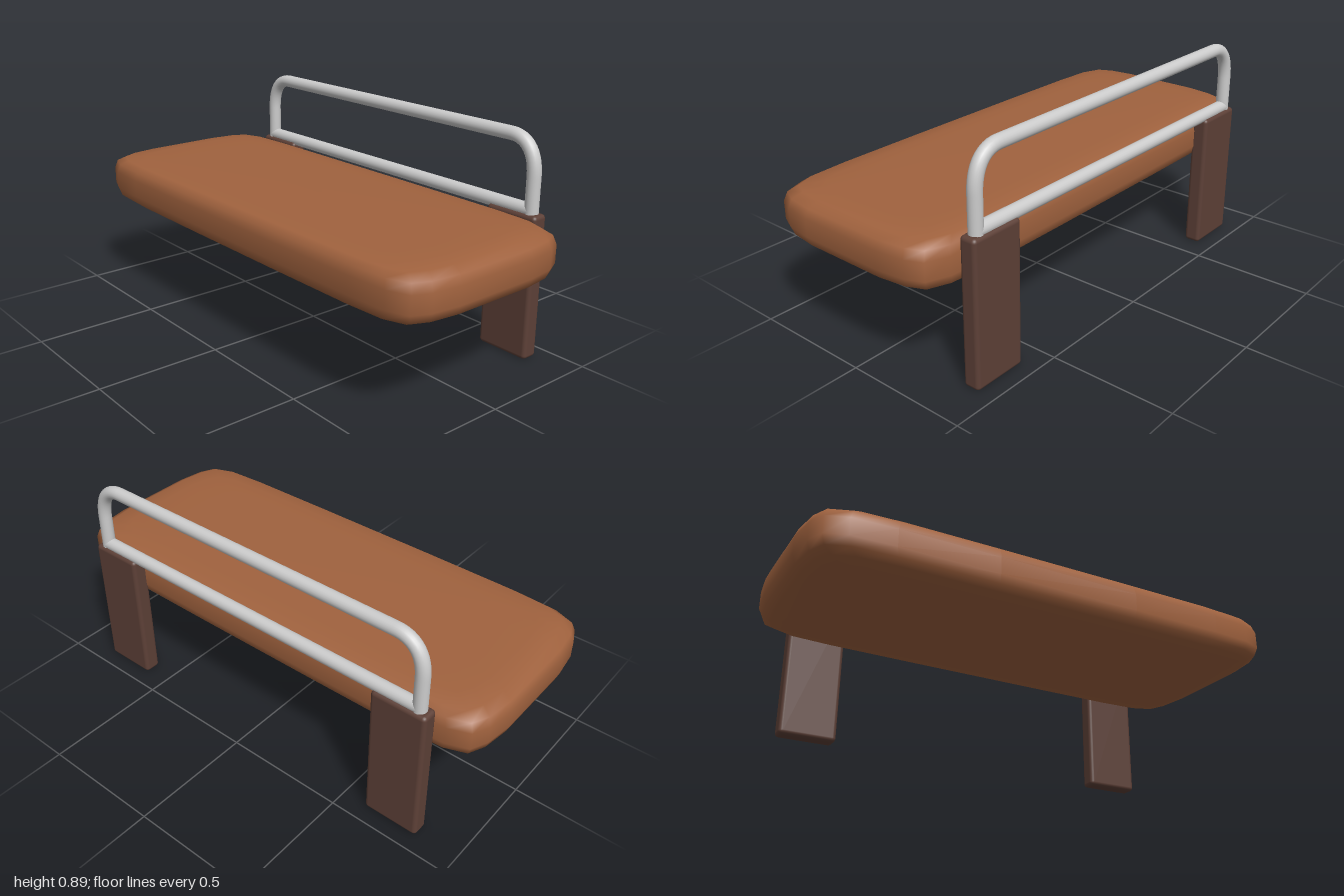
import * as THREE from 'three';
import { RoundedBoxGeometry } from 'three/addons/geometries/RoundedBoxGeometry.js';

const mat = (color) => new THREE.MeshStandardMaterial({ color });

// Cushion-like slab: one rounded outline, shrunk in layers towards top and bottom
function seatGeometry() {
  const halfX = 1, halfZ = 0.4075;
  const quarter = [[1, 0.18], [0.985, 0.295], [0.955, 0.362], [0.87, 0.395], [0.7, 0.405], [0.3, halfZ]];
  const back = [...quarter].reverse();
  const outline = [
    ...quarter,
    ...back.map(([x, z]) => [-x, z]),
    ...quarter.map(([x, z]) => [-x, -z]),
    ...back.map(([x, z]) => [x, -z]),
  ];
  // height from the middle, inset in x, inset in z
  const upper = [[0.035, 0, 0], [0.07, 0.013, 0.01], [0.09, 0.05, 0.035],
    [0.097, 0.13, 0.1], [0.1, 0.3, 0.16], [0.1, halfX, halfZ]];
  const layers = [...[...upper].reverse().map(([y, a, b]) => [-y, a, b]), ...upper];
  const n = outline.length, positions = [], index = [];
  for (const [y, insetX, insetZ] of layers) {
    for (const [x, z] of outline) {
      positions.push(x * (1 - insetX / halfX), y, z * (1 - insetZ / halfZ));
    }
  }
  for (let i = 0; i < layers.length - 1; i++) {
    for (let j = 0; j < n; j++) {
      const a = i * n + j, b = i * n + (j + 1) % n, c = a + n, d = b + n;
      if (i > 0) index.push(a, c, b);
      if (i < layers.length - 2) index.push(b, c, d);
      else index.push(a, c, b);
      if (i === 0) index.push(a, c, d);
    }
  }
  // the centre fans need only one triangle per side
  const clean = [];
  for (let k = 0; k < index.length; k += 3) {
    const t = index.slice(k, k + 3);
    const p = t.map((v) => new THREE.Vector3().fromArray(positions, v * 3));
    if (new THREE.Triangle(...p).getArea() > 1e-9) clean.push(...t);
  }
  const geometry = new THREE.BufferGeometry();
  geometry.setAttribute('position', new THREE.Float32BufferAttribute(positions, 3));
  geometry.setIndex(clean);
  geometry.computeVertexNormals();
  return geometry;
}

export function createModel() {
  const group = new THREE.Group();
  const wood = mat(0xa0623e), darkWood = mat(0x5d4037), metal = mat(0xcccccc);
  const add = (name, geometry, material, x, y, z) => {
    const mesh = new THREE.Mesh(geometry, material);
    mesh.name = name;
    mesh.position.set(x, y, z);
    group.add(mesh);
    return mesh;
  };

  add('seat', seatGeometry(), wood, 0, 0.485, 0.0275);

  // Flat supports behind the seat
  const legGeometry = new RoundedBoxGeometry(0.23, 0.58, 0.07, 3, 0.016);
  for (const [side, s] of [['left', 1], ['right', -1]]) {
    add(side + 'Leg', legGeometry, darkWood, s * 0.715, 0.29, -0.4);
  }

  // Bent back rail
  const x = 0.785, top = 0.863, r = 0.027;
  const v = (px, py) => new THREE.Vector3(px, py, 0);
  const path = new THREE.CurvePath();
  path.add(new THREE.LineCurve3(v(-x, 0.57), v(-x, 0.72)));
  path.add(new THREE.CubicBezierCurve3(v(-x, 0.72), v(-x, 0.81), v(-0.745, top), v(-0.67, top)));
  path.add(new THREE.LineCurve3(v(-0.67, top), v(0.67, top)));
  path.add(new THREE.CubicBezierCurve3(v(0.67, top), v(0.745, top), v(x, 0.81), v(x, 0.72)));
  path.add(new THREE.LineCurve3(v(x, 0.72), v(x, 0.57)));
  add('backRail', new THREE.TubeGeometry(path, 120, r, 20), metal, 0, 0, -0.4);

  // Straight rail between the posts
  const lowerRail = add('lowerRail', new THREE.CylinderGeometry(r, r, 2 * x, 20), metal, 0, 0.59, -0.4);
  lowerRail.rotation.z = Math.PI / 2;
  return group;
}
